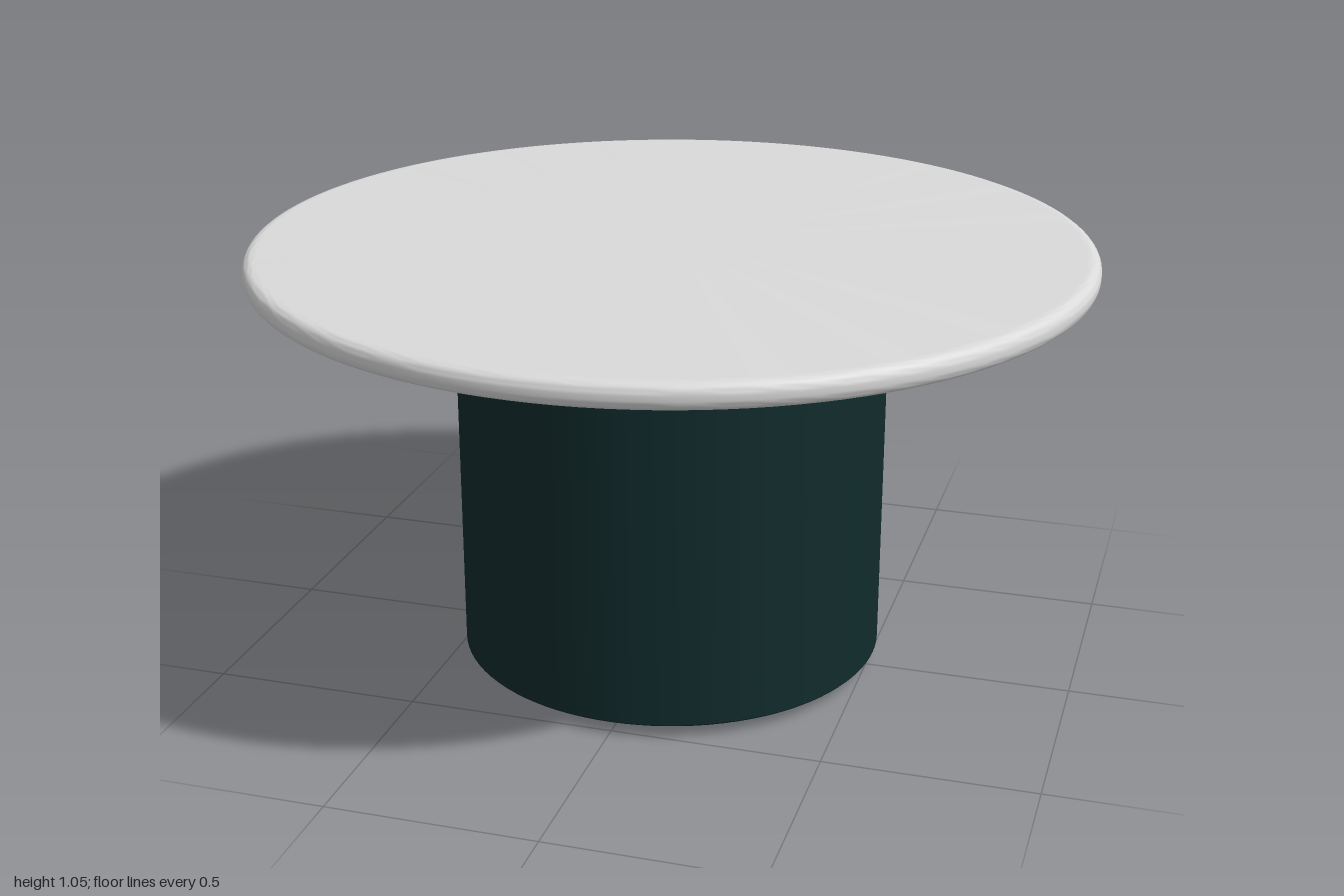
import * as THREE from 'three';
import { toCreasedNormals } from 'three/addons/utils/BufferGeometryUtils.js';

const topPaint = new THREE.MeshStandardMaterial({ color: 0xdadada });
topPaint.name = 'pale grey top';
const basePaint = new THREE.MeshStandardMaterial({ color: 0x112b2c });
basePaint.name = 'dark teal base';

// Revolves [radius, height] pairs, keeping sharp edges sharp
function turned(name, pairs, material, segments) {
  const points = pairs.map(([r, y]) => new THREE.Vector2(r, y));
  const geometry = toCreasedNormals(new THREE.LatheGeometry(points, segments), 0.6);
  const mesh = new THREE.Mesh(geometry, material);
  mesh.name = name;
  return mesh;
}

export function createModel() {
  const table = new THREE.Group();
  table.name = 'roundTable';

  // Round top with a softened edge
  const bottom = 0.99, top = 1.05, bevel = 0.025, steps = 6;
  const profile = [[0, bottom], [0.965, bottom]];
  for (let i = 0; i <= steps; i++) {
    const a = -Math.PI / 2 + (i / steps) * Math.PI / 2;
    profile.push([1 - bevel + Math.cos(a) * bevel, bottom + bevel + Math.sin(a) * bevel]);
  }
  for (let i = 0; i <= steps; i++) {
    const a = (i / steps) * Math.PI / 2;
    profile.push([1 - bevel + Math.cos(a) * bevel, top - bevel + Math.sin(a) * bevel]);
  }
  profile.push([0.965, top], [0, top]);
  table.add(turned('tableTop', profile, topPaint, 128));

  // Hollow drum base, open underneath
  table.add(turned('drumBase', [
    [0.5, 0.99], [0.5, 0.035], [0.505, 0.03], [0.512, 0.03], [0.517, 0.035], [0.517, 0.99],
  ], basePaint, 96));

  // Four small round feet on the inner wall, pointing to the centre
  const footProfile = [[0.036, 0], [0.045, 0.065], [0.043, 0.078], [0.036, 0.083], [0, 0.085]];
  for (let i = 0; i < 4; i++) {
    const pivot = new THREE.Group();
    pivot.name = 'footMount';
    pivot.rotation.y = i * Math.PI / 2;
    const foot = turned('foot', footProfile, basePaint, 24);
    foot.rotation.z = Math.PI / 2;
    foot.position.set(0.505, 0.045, 0);
    pivot.add(foot);
    table.add(pivot);
  }
  return table;
}
